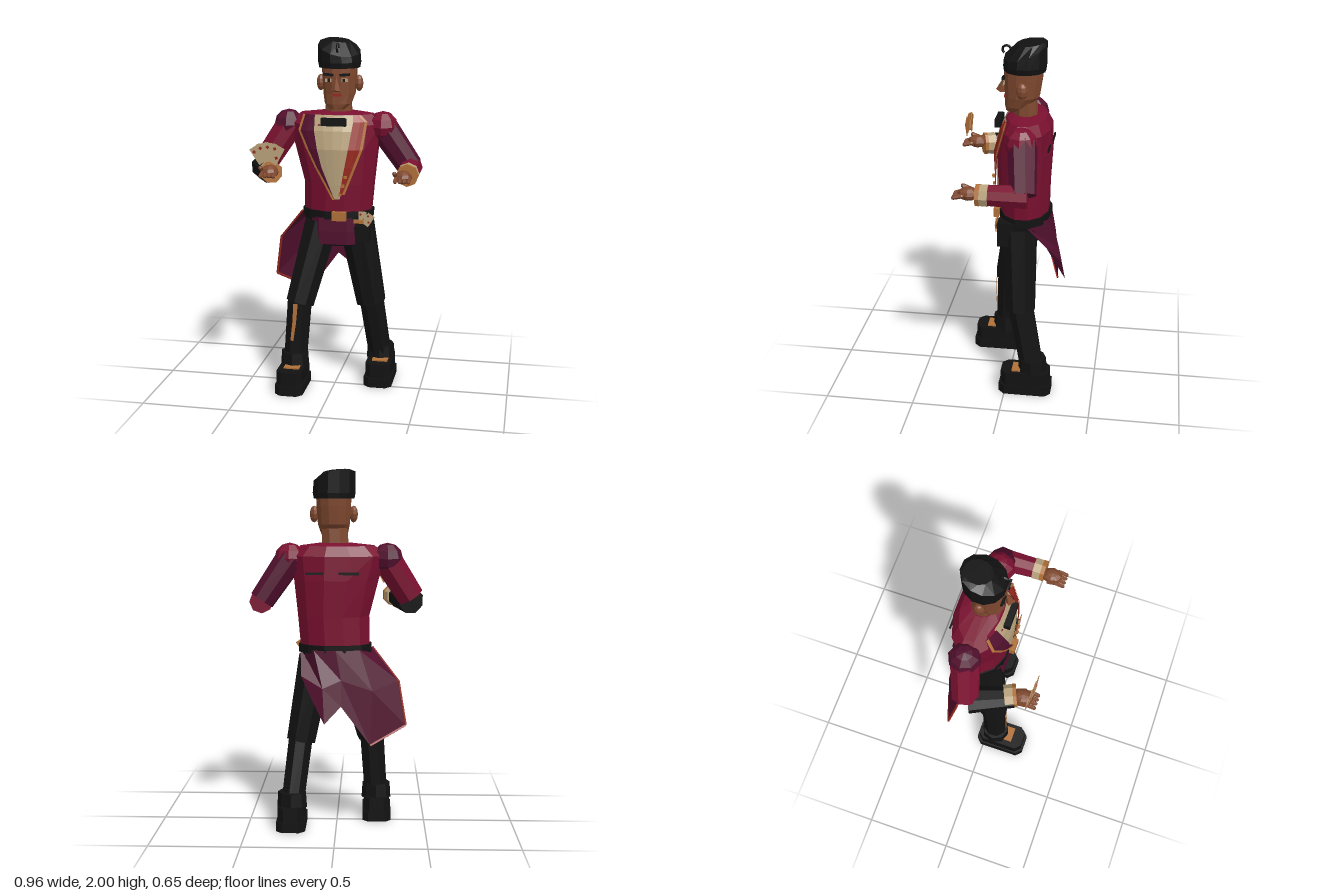
import * as THREE from 'three';

const mat = (name, color, open = false) => {
  const m = new THREE.MeshStandardMaterial({ color, flatShading: true });
  if (open) m.side = THREE.DoubleSide;
  m.name = name;
  return m;
};
const crimson = mat('crimson cloth', 0x7a1030);
const maroon = mat('maroon cloth', 0x52102e, true);
const black = mat('black cloth', 0x121212);
const skin = mat('skin', 0x80492f);
const cream = mat('cream', 0xb8a27c, true);
const gold = mat('gold', 0xb07038, true);
const rust = mat('rust red', 0x98281e, true);

const V = (p) => new THREE.Vector3(...p);

function geometryFrom(pos, idx) {
  const g = new THREE.BufferGeometry();
  g.setAttribute('position', new THREE.Float32BufferAttribute(pos, 3));
  g.setIndex(idx);
  g.computeVertexNormals();
  return g;
}

// Closed body from elliptical rings: [y, cx, cz, rx, rz, tiltZ, tiltX]
function loft(rings, n = 12) {
  const pos = [], idx = [];
  for (const [y, cx, cz, rx, rz, tz = 0, tx = 0] of rings) {
    for (let j = 0; j < n; j++) {
      const a = ((j + 0.5) / n) * Math.PI * 2;
      const dx = rx * Math.cos(a), dz = rz * Math.sin(a);
      pos.push(cx + dx, y - tz * dz - tx * dx, cz + dz);
    }
  }
  const last = rings.length - 1;
  for (let i = 0; i < last; i++) {
    for (let j = 0; j < n; j++) {
      const a = i * n + j, b = i * n + ((j + 1) % n);
      idx.push(a, a + n, b, b, a + n, b + n);
    }
  }
  for (let j = 1; j < n - 1; j++) {
    idx.push(0, j, j + 1, last * n, last * n + j + 1, last * n + j);
  }
  return geometryFrom(pos, idx);
}

// Open sheet through rows of points
function sheet(rows) {
  const n = rows[0].length, idx = [];
  for (let i = 0; i < rows.length - 1; i++) {
    for (let j = 0; j < n - 1; j++) {
      const a = i * n + j;
      idx.push(a, a + n, a + 1, a + 1, a + n, a + n + 1);
    }
  }
  return geometryFrom(rows.flat(2), idx);
}

const torsoRings = [
  [1.0, 0.005, -0.08, 0.195, 0.135],
  [1.2, 0.015, -0.075, 0.203, 0.145],
  [1.4, 0, -0.075, 0.24, 0.155],
  [1.53, -0.01, -0.085, 0.27, 0.14],
  [1.585, -0.005, -0.085, 0.21, 0.108],
  [1.6, 0.005, -0.08, 0.08, 0.07],
];

// Depth of the chest surface at a point
function chestZ(x, y) {
  let i = 0;
  while (i < torsoRings.length - 2 && torsoRings[i + 1][0] < y) i++;
  const p = torsoRings[i], q = torsoRings[i + 1];
  const t = Math.min(1, Math.max(0, (y - p[0]) / (q[0] - p[0])));
  const [, cx, cz, rx, rz] = p.map((v, k) => v + (q[k] - v) * t);
  return cz + rz * Math.sqrt(Math.max(0.05, 1 - ((x - cx) / rx) ** 2));
}

// Cloth panel laid on the chest; rows are [y, x0, x1]
const panel = (rows, lift, cols = 5) => sheet(rows.map(([y, x0, x1]) =>
  Array.from({ length: cols }, (_, j) => {
    const x = x0 + ((x1 - x0) * j) / (cols - 1);
    return [x, y, chestZ(x, y) + lift];
  })));

export function createModel() {
  const model = new THREE.Group();
  const add = (name, geo, m, p = [0, 0, 0], parent = model) => {
    const mesh = new THREE.Mesh(geo, m);
    mesh.name = name;
    mesh.position.set(...p);
    parent.add(mesh);
    return mesh;
  };
  const box = (name, size, p, m, parent) => add(name, new THREE.BoxGeometry(...size), m, p, parent);
  const limb = (name, a, b, ra, rb, m, sides = 8) => {
    const d = V(b).sub(V(a));
    const mesh = add(name, new THREE.CylinderGeometry(rb, ra, d.length(), sides), m);
    mesh.position.copy(V(a)).addScaledVector(d, 0.5);
    mesh.quaternion.setFromUnitVectors(new THREE.Vector3(0, 1, 0), d.normalize());
    return mesh;
  };
  const ball = (name, p, s, m) => add(name, new THREE.SphereGeometry(1, 8, 6), m, p).scale.set(...s);

  // Head and neck
  add('neck', loft([[1.56, 0.005, -0.08, 0.08, 0.068], [1.68, 0.01, -0.075, 0.074, 0.066]], 8), skin);
  add('head', loft([
    [1.615, 0.01, -0.015, 0.04, 0.045], [1.645, 0.012, -0.035, 0.075, 0.07], [1.7, 0.015, -0.06, 0.09, 0.095],
    [1.8, 0.015, -0.065, 0.097, 0.106], [1.87, 0.015, -0.07, 0.1, 0.108]]), skin);
  add('hair', loft([
    [1.84, 0.013, -0.073, 0.114, 0.114], [1.87, 0.013, -0.073, 0.12, 0.118],
    [1.95, 0.01, -0.075, 0.117, 0.117, 0.34, 0.22], [1.988, 0, -0.1, 0.07, 0.075, 0.1, 0.1]]), black);
  const curl = add('hairCurl', new THREE.TorusGeometry(0.022, 0.007, 5, 8, Math.PI * 1.3), black, [0.02, 1.95, 0.025]);
  curl.rotation.y = Math.PI / 2;
  for (const s of [-1, 1]) {
    ball('ear', [0.015 + s * 0.108, 1.755, -0.07], [0.024, 0.046, 0.032], skin);
    box('eye', [0.034, 0.018, 0.008], [0.015 + s * 0.045, 1.778, 0.036], cream);
    box('pupil', [0.015, 0.018, 0.008], [0.015 + s * 0.042, 1.778, 0.039], black);
    const brow = box('eyebrow', [0.058, 0.014, 0.012], [0.015 + s * 0.046, 1.808, 0.037], black);
    brow.rotation.z = s * 0.08;
  }
  const nose = add('nose', new THREE.ConeGeometry(0.027, 0.085, 4), skin, [0.014, 1.762, 0.048]);
  nose.rotation.x = -0.25;
  box('mouth', [0.05, 0.014, 0.008], [0.018, 1.697, 0.034], rust);

  // Jacket, shirt and lapels
  add('jacket', loft(torsoRings), crimson);
  add('shirt', panel([[1.585, -0.11, 0.115], [1.5, -0.11, 0.11], [1.4, -0.09, 0.095],
    [1.3, -0.065, 0.075], [1.2, -0.025, 0.055], [1.12, 0.01, 0.04]], 0.008), cream);
  const leftLapel = [[1.585, 0.105, 0.15], [1.55, 0.11, 0.185], [1.4, 0.088, 0.165], [1.3, 0.068, 0.128], [1.15, 0.04, 0.07]];
  const rightLapel = [[1.585, -0.18, -0.108], [1.5, -0.2, -0.105], [1.4, -0.15, -0.085], [1.3, -0.1, -0.06], [1.12, 0, 0.012]];
  add('leftLapel', panel(leftLapel, 0.018, 3), rust);
  add('rightLapel', panel(rightLapel, 0.018, 3), maroon);
  add('leftLapelTrim', panel(leftLapel.map(([y, , x]) => [y, x - 0.014, x]), 0.022, 2), gold);
  add('rightLapelTrim', panel(rightLapel.map(([y, x]) => [y, x, x + 0.014]), 0.022, 2), gold);
  for (const y of [1.15, 1.2, 1.25]) {
    box('button', [0.016, 0.016, 0.014], [0.06 + (y - 1.2) * 0.3, y, chestZ(0.06, y) + 0.022], gold);
  }
  box('bowTie', [0.14, 0.042, 0.034], [0.005, 1.552, 0.068], black);
  box('backSlit', [0.11, 0.014, 0.008], [-0.07, 1.44, -0.226], black);
  box('backSlit', [0.11, 0.014, 0.008], [0.11, 1.44, -0.218], black);

  // Belt, pouch and apron
  add('belt', loft([[1.0, 0.006, -0.083, 0.207, 0.147], [1.045, 0.006, -0.083, 0.207, 0.147]]), black);
  add('pelvis', loft([[0.84, 0.005, -0.06, 0.12, 0.09], [0.9, 0.005, -0.065, 0.18, 0.115], [1.01, 0.005, -0.08, 0.195, 0.13]]), black);
  box('buckle', [0.078, 0.05, 0.03], [0.038, 1.025, 0.078], gold);
  add('apron', sheet([[1.01, 0.065], [0.93, 0.068], [0.855, 0.066]].map(([y, z]) =>
    [[-0.13, y, z - 0.05], [-0.08, y, z - 0.008], [0.08, y, z - 0.008], [0.14, y, z - 0.05]])), maroon);
  box('pouch', [0.08, 0.14, 0.1], [0.165, 0.95, 0.005], black);
  box('pouchTrim', [0.055, 0.02, 0.012], [0.145, 0.995, 0.06], gold);

  // Coat tails with trimmed outer edge
  const tails = [
    [[-0.2, 1.02, -0.06], [-0.13, 1.02, -0.205], [0, 1.02, -0.232], [0.12, 1.02, -0.215], [0.2, 1.02, -0.09]],
    [[-0.345, 0.84, -0.13], [-0.2, 0.8, -0.235], [-0.03, 0.86, -0.25], [0.07, 0.82, -0.28], [0.19, 0.88, -0.22]],
    [[-0.385, 0.6, -0.18], [-0.19, 0.5, -0.25], [-0.03, 0.72, -0.27], [0.06, 0.63, -0.315], [0.13, 0.77, -0.3]],
  ];
  add('coatTails', sheet(tails), maroon);
  for (const [a, b] of [[tails[0][0], tails[1][0]], [tails[1][0], tails[2][0]], [tails[2][0], tails[2][1]]]) {
    limb('tailTrim', a, b, 0.007, 0.007, rust, 4);
  }

  // Arms
  ball('rightShoulder', [-0.28, 1.515, -0.085], [0.085, 0.085, 0.09], maroon);
  ball('leftShoulder', [0.257, 1.515, -0.085], [0.085, 0.085, 0.09], crimson);
  limb('rightUpperArm', [-0.27, 1.52, -0.085], [-0.41, 1.3, -0.04], 0.082, 0.076, crimson);
  limb('leftUpperArm', [0.25, 1.52, -0.09], [0.41, 1.285, -0.115], 0.082, 0.072, maroon);
  limb('rightForearm', [-0.415, 1.275, -0.025], [-0.325, 1.28, 0.2], 0.075, 0.056, black);
  limb('leftForearm', [0.412, 1.28, -0.14], [0.422, 1.28, 0.1], 0.066, 0.056, crimson);
  limb('rightCuff', [-0.338, 1.285, 0.15], [-0.318, 1.287, 0.195], 0.062, 0.06, cream);
  limb('rightCuffBand', [-0.319, 1.287, 0.193], [-0.312, 1.288, 0.21], 0.063, 0.062, gold);
  limb('leftCuff', [0.421, 1.28, 0.065], [0.422, 1.28, 0.112], 0.062, 0.06, cream);
  limb('leftCuffBand', [0.422, 1.28, 0.108], [0.422, 1.28, 0.13], 0.062, 0.062, gold);

  // Hands
  const hand = (name, x, y, z, side) => {
    const g = new THREE.Group();
    g.name = name;
    g.position.set(x, y, z);
    model.add(g);
    const palm = add('palm', new THREE.SphereGeometry(1, 8, 6), skin, [0, 0, 0], g);
    palm.scale.set(0.048, 0.036, 0.06);
    for (let i = 0; i < 4; i++) {
      const f = add('finger', new THREE.CapsuleGeometry(0.0115, 0.045, 2, 6), skin, [(i - 1.5) * 0.024, -0.008, 0.052], g);
      f.rotation.x = 1.8;
    }
    const thumb = add('thumb', new THREE.CapsuleGeometry(0.013, 0.045, 2, 6), skin, [side * 0.045, 0.015, 0.015], g);
    thumb.rotation.set(1.2, 0, 0);
  };
  hand('rightHand', -0.312, 1.3, 0.245, -1);
  hand('leftHand', 0.408, 1.28, 0.172, -1);

  // Playing cards, cream in front and gold behind
  const cards = (name, p, count, spread, tilt, size) => {
    const g = new THREE.Group();
    g.name = name;
    g.position.set(...p);
    model.add(g);
    for (let i = 0; i < count; i++) {
      const c = new THREE.Group();
      c.rotation.z = tilt - (i - (count - 1) / 2) * spread;
      c.position.z = i * 0.004;
      g.add(c);
      box('card', [0.064 * size, 0.1 * size, 0.003], [0, 0.09 * size, 0], [gold, gold, gold, gold, cream, gold], c);
      for (const [x, y] of [[-0.016, 0.115], [0.014, 0.075]]) {
        const pip = box('cardPip', [0.015 * size, 0.015 * size, 0.002], [x * size, y * size, 0.002], rust, c);
        pip.rotation.z = Math.PI / 4;
      }
    }
  };
  cards('cardFan', [-0.31, 1.325, 0.288], 4, 0.36, 0.05, 1);
  cards('beltCards', [0.165, 0.955, 0.056], 2, 0.55, -0.3, 0.7);

  // Legs and shoes
  const leg = (side, hip, knee, ankle, shoe) => {
    limb(side + 'Thigh', hip, knee, 0.103, 0.086, black);
    limb(side + 'Shin', [knee[0], knee[1] + 0.03, knee[2]], ankle, 0.072, 0.068, black);
    limb(side + 'TrouserHem', [ankle[0], 0.21, ankle[2]], ankle, 0.078, 0.084, black);
    const footprint = (w, l) => {
      const s = new THREE.Shape(), c = 0.032;
      [[-w + c, -l], [w - c, -l], [w, -l + c], [w, l - c], [w - c, l], [-w + c, l], [-w, l - c], [-w, -l + c]]
        .forEach(([x, y], i) => (i ? s.lineTo(x, y) : s.moveTo(x, y)));
      return s;
    };
    for (const [part, w, l, y, h] of [['Sole', 0.081, 0.149, 0, 0.055], ['Shoe', 0.073, 0.138, 0.055, 0.08]]) {
      const g = new THREE.ExtrudeGeometry(footprint(w, l), { depth: h, bevelEnabled: false }).rotateX(-Math.PI / 2);
      add(side + part, g, black, [shoe[0], y, shoe[1]]);
    }
    box(side + 'ShoeTongue', [0.09, 0.009, 0.05], [shoe[0] + 0.005, 0.138, ankle[2] + 0.09], gold);
  };
  leg('right', [-0.085, 0.96, -0.05], [-0.197, 0.5, 0.04], [-0.225, 0.12, 0.06], [-0.228, 0.104]);
  leg('left', [0.115, 0.96, -0.06], [0.2, 0.49, -0.078], [0.248, 0.12, -0.155], [0.252, -0.115]);
  add('shinTear', sheet([[-0.208, 0.51, 0.118], [-0.213, 0.4, 0.124], [-0.225, 0.29, 0.128]].map(([x, y, z], i) =>
    [[x - 0.012, y, z], [x + 0.014 - i * 0.004, y, z]])), gold);
  return model;
}
